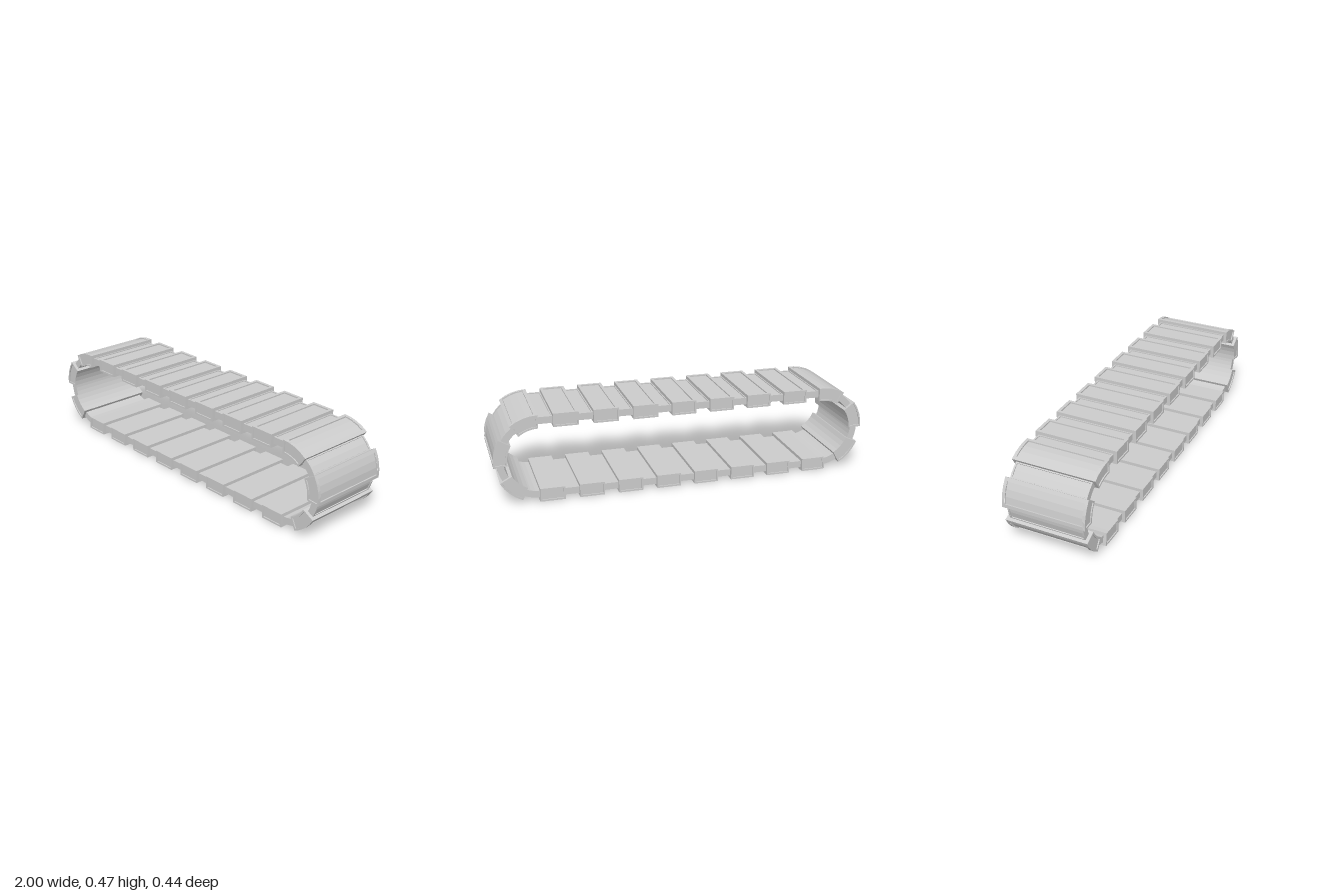
import * as THREE from 'three';

// Stadium-shaped path: end radius, half straight length, centre height
const R = 0.198, L = 0.767, CY = 0.233;
const ARC = Math.PI * R, PERIMETER = 4 * L + 2 * ARC;
const COUNT = 21, PITCH = PERIMETER / COUNT;
const PAD_LENGTH = 0.13;

// Maps distance s along the path (clockwise from top centre) and outward offset v to a point
function onPath(s, v, z) {
  s = ((s % PERIMETER) + PERIMETER) % PERIMETER;
  const r = R + v;
  const bend = (cx, a) => new THREE.Vector3(cx + Math.cos(a) * r, CY + Math.sin(a) * r, z);
  if (s < L) return new THREE.Vector3(s, CY + r, z);
  s -= L;
  if (s < ARC) return bend(L, Math.PI / 2 - s / R);
  s -= ARC;
  if (s < 2 * L) return new THREE.Vector3(L - s, CY - r, z);
  s -= 2 * L;
  if (s < ARC) return bend(-L, -Math.PI / 2 - s / R);
  return new THREE.Vector3(-L + s - ARC, CY + r, z);
}

// Block bent along the path; listed faces get a sunken panel { margin, depth }
function bentBlock(s0, length, halfThick, halfWidth, outerPanel, endPanel) {
  const points = [];
  const V = (x, y, z) => new THREE.Vector3(x, y, z);
  const put = (p) => points.push(...onPath(s0 + p.x, p.y, p.z).toArray());

  // Quad split along the path so that it follows the bend
  function quad(a, b, c, d) {
    const steps = (p, q) => Math.max(1, Math.ceil(Math.abs(p.x - q.x) / 0.035));
    const nu = steps(a, b), nv = steps(a, d);
    const at = (i, j) => a.clone().lerp(b, i / nu).lerp(d.clone().lerp(c, i / nu), j / nv);
    for (let i = 0; i < nu; i++) {
      for (let j = 0; j < nv; j++) {
        const k = [at(i, j), at(i + 1, j), at(i + 1, j + 1), at(i, j + 1)];
        [0, 1, 2, 0, 2, 3].forEach((n) => put(k[n]));
      }
    }
  }

  // Face with centre c and half axes p, q, seen from p x q
  function face(c, p, q, panel) {
    const ring = (p, q, c) => [[-1, -1], [1, -1], [1, 1], [-1, 1]].map(([i, j]) =>
      c.clone().addScaledVector(p, i).addScaledVector(q, j));
    const outer = ring(p, q, c);
    if (!panel) return quad(...outer);
    const shrink = (e, m) => e.clone().setLength(e.length() - m);
    const pi = shrink(p, panel.marginU), qi = shrink(q, panel.marginV);
    const normal = p.clone().cross(q).normalize();
    const inner = ring(pi, qi, c);
    const floor = ring(pi, qi, c.clone().addScaledVector(normal, -panel.depth));
    for (let i = 0; i < 4; i++) {
      const j = (i + 1) % 4;
      quad(outer[i], outer[j], inner[j], inner[i]);
      quad(inner[i], inner[j], floor[j], floor[i]);
    }
    quad(...floor);
  }

  const u = V(length / 2, 0, 0), v = V(0, halfThick, 0), w = V(0, 0, halfWidth);
  const neg = (e) => e.clone().negate();
  face(v, u, neg(w), outerPanel);       // outside
  face(neg(v), u, w);                   // inside
  face(w, u, v, endPanel);              // front end
  face(neg(w), neg(u), v, endPanel);    // back end
  face(u, v, w);                        // leading side
  face(neg(u), v, neg(w));              // trailing side

  const geometry = new THREE.BufferGeometry();
  geometry.setAttribute('position', new THREE.Float32BufferAttribute(points, 3));
  geometry.computeVertexNormals();
  return geometry;
}

export function createModel() {
  const model = new THREE.Group();
  model.name = 'trackLoop';
  const material = new THREE.MeshStandardMaterial({ color: 0xcccccc, flatShading: true });
  const add = (name, geometry) => {
    const mesh = new THREE.Mesh(geometry, material);
    mesh.name = name;
    model.add(mesh);
  };

  const padPanel = { marginU: 0.016, marginV: 0.016, depth: 0.007 };
  const padEnd = { marginU: 0.009, marginV: 0.009, depth: 0.006 };
  const linkPanel = { marginU: 0.006, marginV: 0.009, depth: 0.005 };

  // Thick pads alternating with thinner, narrower connecting links
  for (let i = 0; i < COUNT; i++) {
    const s = 0.01 + i * PITCH;
    add('trackPad' + (i + 1), bentBlock(s, PAD_LENGTH, 0.035, 0.22, padPanel, padEnd));
    add('trackLink' + (i + 1),
      bentBlock(s + PITCH / 2, PITCH - PAD_LENGTH, 0.018, 0.203, linkPanel));
  }
  return model;
}
